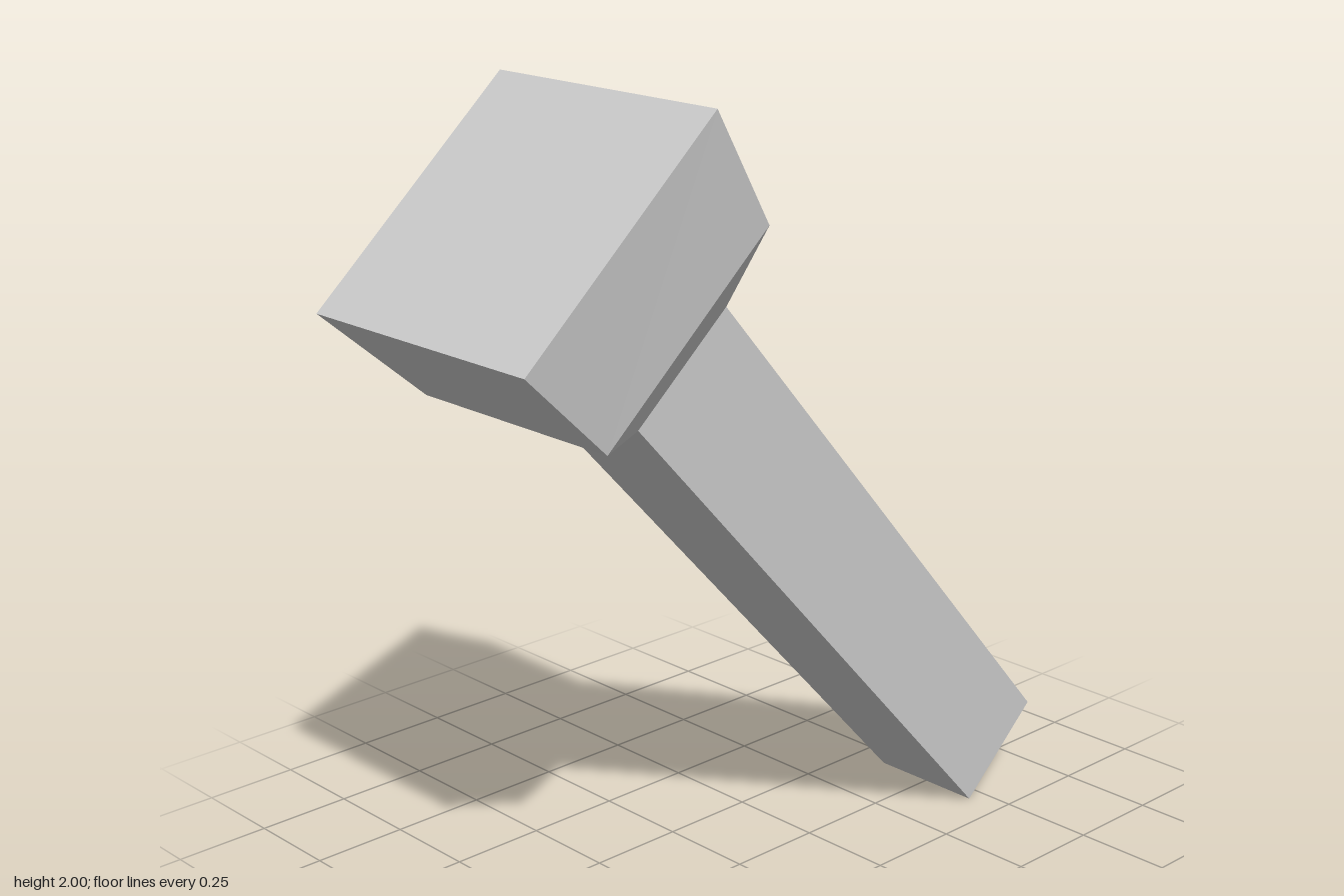
import * as THREE from 'three';

// Square cross-sections along the tilted axis: half width, lower edge [y, z], upper edge [y, z]
const TAIL = { w: 0.155, low: [0, -0.7], high: [0.21, -0.93] };
const NECK = { w: 0.175, low: [1.285, 0.475], high: [1.515, 0.21] };
const RIM = { w: 0.31, low: [1.305, 0.68], high: [1.72, 0.21] };
const FACE = { w: 0.355, low: [1.53, 0.93], high: [2, 0.405] };

// Corners counter-clockwise as seen from the head end
function corners({ w, low, high }) {
  return [[-w, ...low], [w, ...low], [w, ...high], [-w, ...high]];
}

// Four-sided tapered block between two sections, with optional end caps
function taperedBlock(from, to, capStart, capEnd) {
  const a = corners(from), b = corners(to), positions = [];
  const quad = (p, q, r, s) => positions.push(...p, ...q, ...r, ...p, ...r, ...s);
  for (let i = 0; i < 4; i++) {
    const j = (i + 1) % 4;
    quad(a[i], a[j], b[j], b[i]);
  }
  if (capStart) quad(a[3], a[2], a[1], a[0]);
  if (capEnd) quad(...b);
  const geometry = new THREE.BufferGeometry();
  geometry.setAttribute('position', new THREE.Float32BufferAttribute(positions, 3));
  geometry.computeVertexNormals();
  return geometry;
}

export function createModel() {
  const group = new THREE.Group();
  group.name = 'tiltedPost';
  const grey = new THREE.MeshStandardMaterial({ color: 0xcccccc });
  grey.name = 'light grey';

  const add = (name, geometry) => {
    const mesh = new THREE.Mesh(geometry, grey);
    mesh.name = name;
    group.add(mesh);
  };

  add('shaft', taperedBlock(TAIL, NECK, true, false)); // long, slightly tapered
  add('collar', taperedBlock(NECK, RIM, false, false)); // flares out to the head
  add('head', taperedBlock(RIM, FACE, false, true)); // wide block with a flat face
  return group;
}
